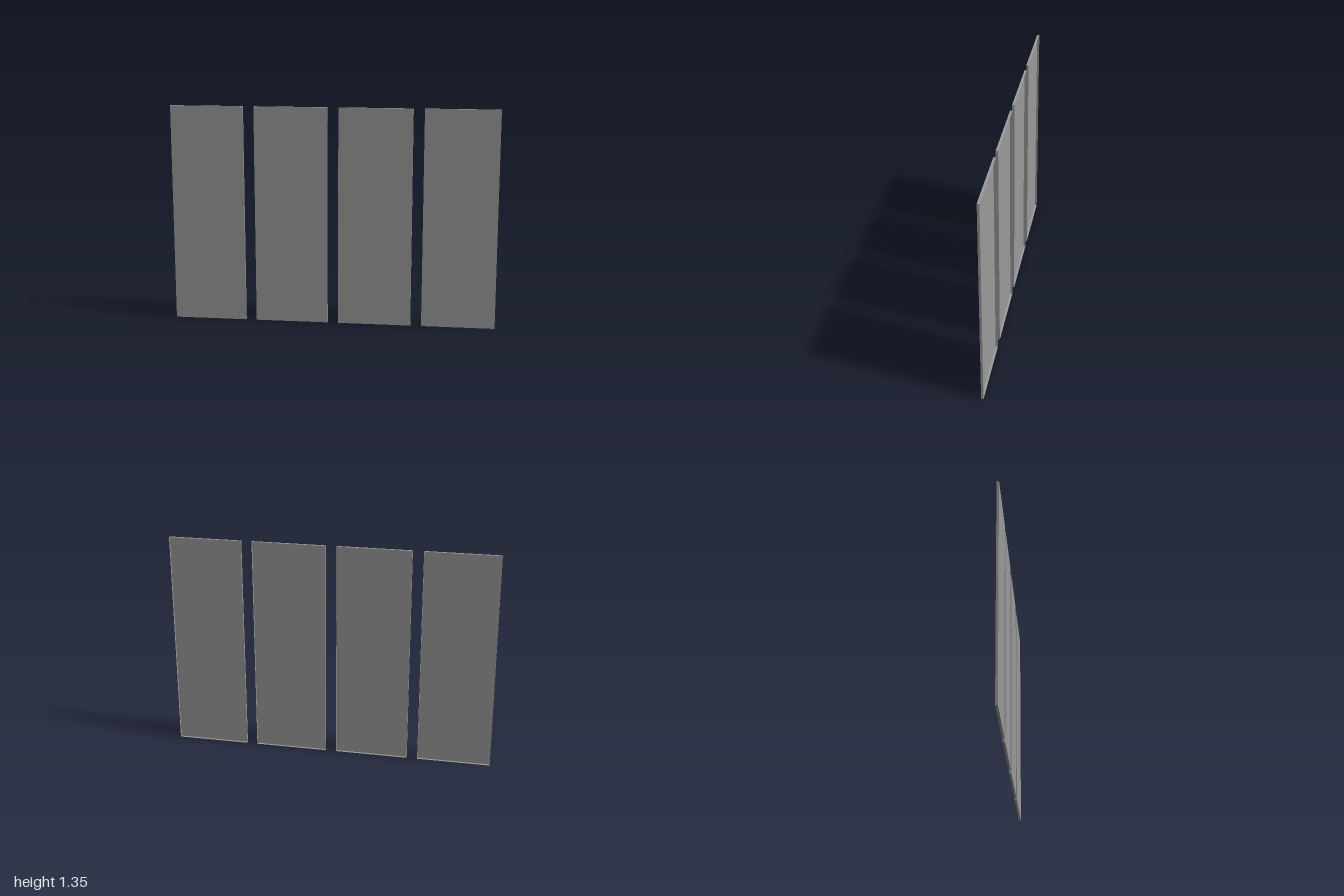
import * as THREE from 'three';

const WIDTH = 0.45, HEIGHT = 1.345, DEPTH = 0.014, COUNT = 4;
const PITCH = (2 - WIDTH) / (COUNT - 1);

// Shallow tray: a front sheet with four thin folded edges and an open back
function trayGeometry() {
  const geometry = new THREE.BoxGeometry(WIDTH, HEIGHT, DEPTH);
  // The last six indices are the back face
  geometry.setIndex(Array.from(geometry.index.array).slice(0, -6));
  geometry.clearGroups();
  return geometry;
}

export function createModel() {
  const model = new THREE.Group();
  model.name = 'panelRow';
  const material = new THREE.MeshStandardMaterial({ color: 0x9b9b9b, side: THREE.DoubleSide });
  const geometry = trayGeometry();

  // Four equal upright panels with even gaps
  for (let i = 0; i < COUNT; i++) {
    const panel = new THREE.Mesh(geometry, material);
    panel.name = `panel${i + 1}`;
    panel.position.set(-1 + WIDTH / 2 + i * PITCH, HEIGHT / 2, 0);
    model.add(panel);
  }
  return model;
}
